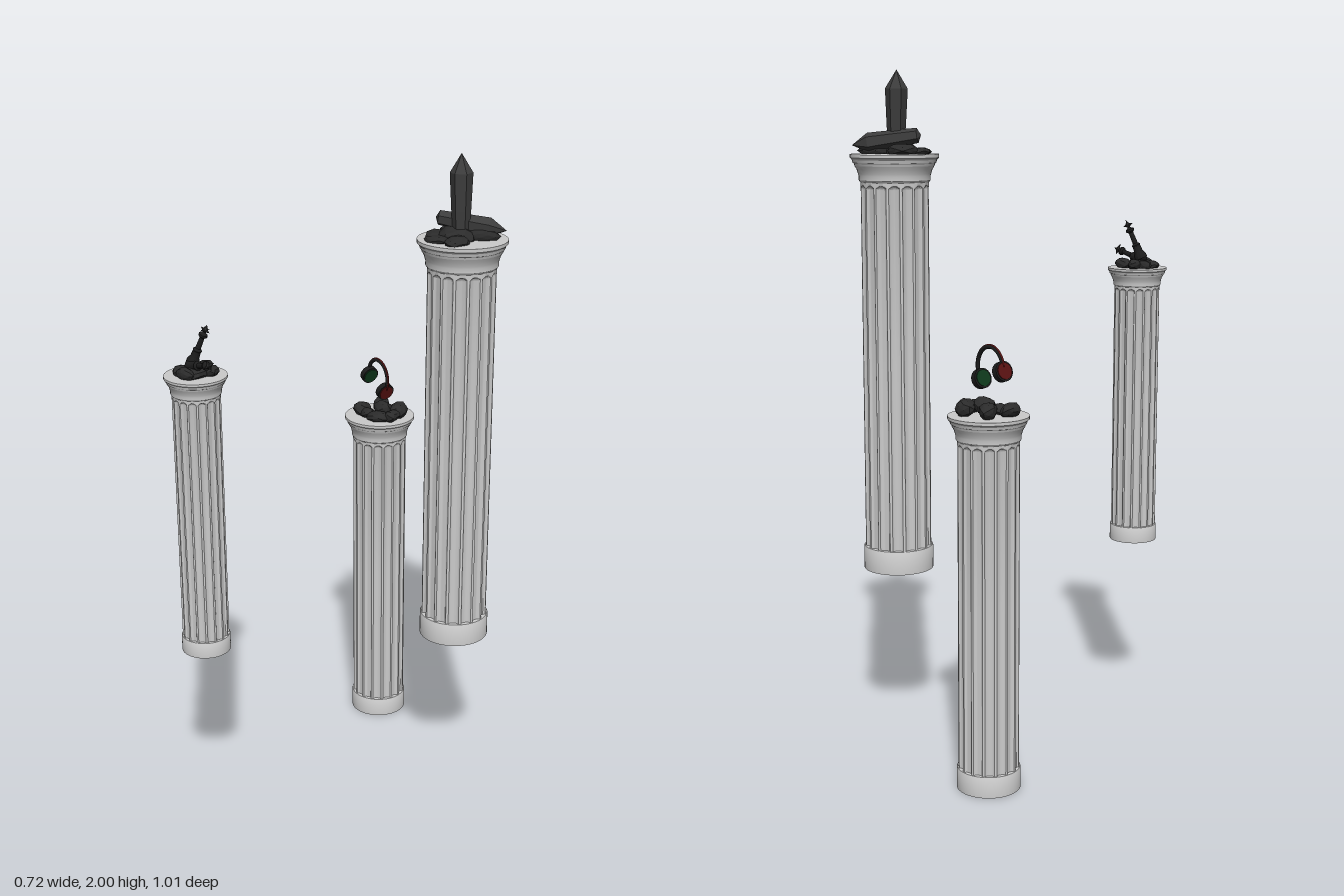
import * as THREE from 'three';
import { toCreasedNormals } from 'three/addons/utils/BufferGeometryUtils.js';

const mat = (color, extra = {}) => new THREE.MeshStandardMaterial({ color, ...extra });
const stone = mat(0xcccccc);
const rockMat = mat(0x2b2b2b, { flatShading: true });
const crystalMat = mat(0x3c3c3c, { flatShading: true });
const darkMat = mat(0x1c1c1c);
const redMat = mat(0x5a1212);
const greenMat = mat(0x0f3a1c);
const UP = new THREE.Vector3(0, 1, 0);

function add(parent, name, geometry, material, pos = [0, 0, 0]) {
  const m = new THREE.Mesh(geometry, material);
  m.name = name;
  m.position.set(...pos);
  parent.add(m);
  return m;
}

const lathe = (pts, seg = 48) =>
  toCreasedNormals(new THREE.LatheGeometry(pts.map(p => new THREE.Vector2(...p)), seg), 0.5);

// Shaft with hollow flutes: square at the foot, rounded at the head
function flutedShaft(r, y0, y1, flutes = 16, depth = 0.008) {
  const per = 10, half = 0.4 * (2 * Math.PI / flutes), w = half * r;
  const rows = [y0, y0 + 0.0005, (y0 + y1) / 2];
  const end = y1 - 0.012;
  for (let i = 0; i <= 6; i++) rows.push(end - w * (1 - Math.sin(i / 6 * Math.PI / 2)));
  rows.push(y1);
  const g = new THREE.CylinderGeometry(r, r, 1, flutes * per, rows.length - 1, true);
  const p = g.attributes.position;
  const cols = flutes * per + 1;
  for (let i = 0; i < p.count; i++) {
    const y = rows[rows.length - 1 - Math.floor(i / cols)];
    const k = i % cols, a = k / (flutes * per) * 2 * Math.PI;
    const u = ((k % per) / per - 0.5) * (2 * Math.PI / flutes) / half;
    const v = Math.max(0, (y - (end - w)) / w);
    const cut = y <= y0 ? 0 : depth * Math.sqrt(Math.max(0, 1 - u * u - v * v));
    p.setXYZ(i, Math.sin(a) * (r - cut), y, Math.cos(a) * (r - cut));
  }
  return toCreasedNormals(g, 0.6);
}

// Column of unit height
function column(name, x, y, z, h) {
  const g = new THREE.Group();
  g.name = name;
  add(g, 'base', lathe([[0, 0], [0.0845, 0], [0.0845, 0.054], [0.083, 0.057], [0.07, 0.057]]), stone);
  add(g, 'flutedShaft', flutedShaft(0.0805, 0.057, 0.94), stone);
  add(g, 'capital', lathe([[0.07, 0.935], [0.081, 0.935], [0.0845, 0.94], [0.0845, 0.95],
    [0.086, 0.955], [0.089, 0.965], [0.094, 0.973], [0.095, 0.978], [0.098, 0.98],
    [0.1, 0.987], [0.105, 0.992], [0.105, 1], [0, 1]]), stone);
  g.position.set(x, y, z);
  g.scale.setScalar(h);
  return g;
}

// Irregular boulder: sphere with vertices pushed by a position hash
function rock(parent, [x, y, z, sx, sy, sz, turn = 0], seed) {
  const g = new THREE.IcosahedronGeometry(1, 1);
  const p = g.attributes.position, v = new THREE.Vector3();
  for (let i = 0; i < p.count; i++) {
    v.fromBufferAttribute(p, i);
    const n = Math.sin(v.x * 3.1 + seed * 1.7) * Math.cos(v.y * 2.7 - seed) + Math.sin(v.z * 4.3 + seed * 2.3);
    v.multiplyScalar(1 + 0.1 * n);
    p.setXYZ(i, v.x * sx, v.y * sy, v.z * sz);
  }
  g.computeVertexNormals();
  add(parent, 'rock', g, rockMat, [x, y, z]).rotation.y = turn;
}

// Places a mesh built along +y so that it runs from a toward b
function aim(obj, a, b) {
  const d = new THREE.Vector3(...b).sub(new THREE.Vector3(...a)).normalize();
  obj.position.set(...a);
  obj.quaternion.setFromUnitVectors(UP, d);
  return obj;
}

// Six-sided pointed crystal
function crystal(parent, name, a, b, r) {
  const len = new THREE.Vector3(...a).distanceTo(new THREE.Vector3(...b));
  const g = new THREE.LatheGeometry([[0, 0], [r * 0.75, 0.01], [r * 0.85, len * 0.3], [r, len * 0.76], [0, len]]
    .map(p => new THREE.Vector2(...p)), 6);
  aim(add(parent, name, g, crystalMat), a, b);
}

// Turned sceptre with a star-shaped finial
function sceptre(parent, name, a, b) {
  const g = new THREE.Group();
  g.name = name;
  add(g, 'turnedHandle', lathe([[0, 0], [0.019, 0], [0.019, 0.01], [0.013, 0.022], [0.012, 0.04],
    [0.014, 0.044], [0.008, 0.05], [0.007, 0.085], [0.013, 0.09], [0.013, 0.096], [0.007, 0.1], [0, 0.104]], 12), darkMat);
  add(g, 'finialCore', new THREE.IcosahedronGeometry(0.009, 0), rockMat, [0, 0.11, 0]);
  for (const d of [[1, 0, 0], [-1, 0, 0], [0, 1, 0], [0, 0, 1], [0, 0, -1]]) {
    const c = [d[0] * 0.01, 0.11 + d[1] * 0.01, d[2] * 0.01];
    aim(add(g, 'finialPoint', new THREE.ConeGeometry(0.006, 0.016, 5), rockMat),
      c, [c[0] + d[0], c[1] + d[1], c[2] + d[2]]);
  }
  parent.add(aim(g, a, b));
}

// Headphones: local x runs between the cups, y toward the band
function headphones(parent) {
  const g = new THREE.Group();
  g.name = 'headphones';
  const half = 0.049;
  for (const s of [-1, 1]) {
    const cup = new THREE.Group();
    cup.name = s < 0 ? 'rightCup' : 'leftCup';
    const disc = (name, r, len, m, x) =>
      add(cup, name, new THREE.CylinderGeometry(r, r, len, 24), m, [x * s, 0, 0]).rotation.z = Math.PI / 2;
    disc('shell', 0.028, 0.018, darkMat, 0);
    disc('outerPlate', 0.023, 0.008, redMat, 0.008);
    disc('innerPad', 0.023, 0.008, greenMat, -0.008);
    cup.position.set(half * s, 0, 0);
    g.add(cup);
  }
  const arc = (rx, ry) => new THREE.CatmullRomCurve3(Array.from({ length: 13 }, (_, i) => {
    const t = -0.3 + i / 12 * (Math.PI + 0.6);
    return new THREE.Vector3(Math.cos(t) * rx, 0.022 + Math.sin(t) * ry, 0);
  }));
  add(g, 'headband', new THREE.TubeGeometry(arc(0.056, 0.056), 40, 0.006, 8), darkMat);
  add(g, 'bandTrim', new THREE.TubeGeometry(arc(0.0605, 0.0605), 40, 0.003, 6), redMat);
  const x = new THREE.Vector3(0.889, -0.314, 0.335).normalize();
  const y = UP.clone().addScaledVector(x, -UP.dot(x)).normalize();
  g.quaternion.setFromRotationMatrix(new THREE.Matrix4().makeBasis(x, y, x.clone().cross(y)));
  g.position.set(-0.237, 1.18, -0.389);
  parent.add(g);
}

export function createModel() {
  const model = new THREE.Group();
  model.name = 'threeColumns';
  model.add(column('tallColumn', 0.23, 0.52, -0.17, 1.24));
  model.add(column('backColumn', -0.23, 0, -0.395, 1.07));
  model.add(column('frontColumn', -0.27, 0.545, 0.415, 0.863));

  // Crystals in a low mound of rock
  const crystals = new THREE.Group();
  crystals.name = 'crystalCluster';
  [[0.215, 1.765, -0.155, 0.06, 0.03, 0.055], [0.165, 1.765, -0.14, 0.038, 0.015, 0.045, 0.5],
    [0.18, 1.77, -0.2, 0.045, 0.02, 0.035, 0.6], [0.255, 1.765, -0.105, 0.032, 0.017, 0.042],
    [0.195, 1.765, -0.1, 0.042, 0.013, 0.03], [0.275, 1.77, -0.195, 0.05, 0.022, 0.028, 0.5]]
    .forEach((r, i) => rock(crystals, r, i + 1));
  crystal(crystals, 'uprightCrystal', [0.227, 1.775, -0.165], [0.222, 2.0, -0.167], 0.033);
  crystal(crystals, 'lyingCrystal', [0.15, 1.815, -0.15], [0.335, 1.785, -0.235], 0.029);
  model.add(crystals);

  // Headphones above a pile of boulders
  const pile = new THREE.Group();
  pile.name = 'boulderPile';
  [[-0.285, 1.085, -0.375, 0.026, 0.022, 0.035], [-0.255, 1.09, -0.435, 0.024, 0.024, 0.04, 0.2],
    [-0.175, 1.09, -0.425, 0.03, 0.026, 0.038, 0.4], [-0.215, 1.095, -0.395, 0.03, 0.025, 0.03],
    [-0.205, 1.08, -0.35, 0.042, 0.018, 0.027], [-0.165, 1.085, -0.375, 0.02, 0.02, 0.03],
    [-0.25, 1.08, -0.36, 0.026, 0.018, 0.025]].forEach((r, i) => rock(pile, r, i + 11));
  model.add(pile);
  headphones(model);

  // Two sceptres stuck in rubble
  const rubble = new THREE.Group();
  rubble.name = 'rubble';
  [[-0.275, 1.415, 0.42, 0.05, 0.02, 0.045], [-0.283, 1.42, 0.365, 0.016, 0.017, 0.032],
    [-0.31, 1.415, 0.43, 0.024, 0.015, 0.035, 0.4], [-0.235, 1.42, 0.39, 0.028, 0.018, 0.02],
    [-0.27, 1.42, 0.455, 0.028, 0.018, 0.022], [-0.305, 1.418, 0.395, 0.024, 0.015, 0.016]]
    .forEach((r, i) => rock(rubble, r, i + 21));
  sceptre(rubble, 'uprightSceptre', [-0.288, 1.437, 0.407], [-0.238, 1.56, 0.39]);
  sceptre(rubble, 'lyingSceptre', [-0.29, 1.43, 0.413], [-0.18, 1.46, 0.447]);
  model.add(rubble);
  return model;
}
